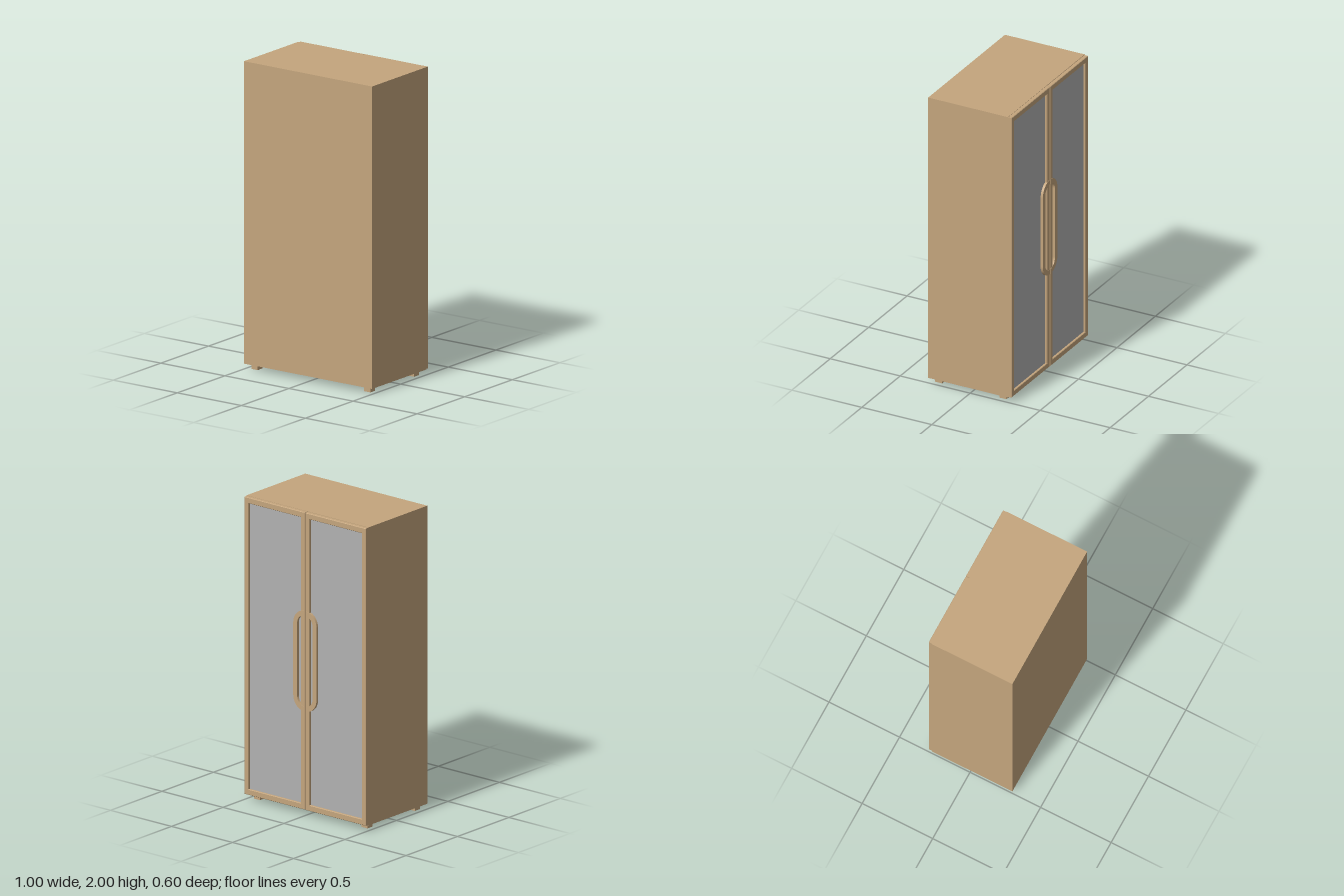
import * as THREE from 'three';

const wood = new THREE.MeshStandardMaterial({ color: 0xc4a57d });
wood.name = 'wood';
const glass = new THREE.MeshStandardMaterial({ color: 0xb1b1b1 });
glass.name = 'greyGlass';

const BASE = 0.035, TOP = 2, MID = (BASE + TOP) / 2;

function box(name, material, size, position) {
  const mesh = new THREE.Mesh(new THREE.BoxGeometry(...size), material);
  mesh.name = name;
  mesh.position.set(...position);
  return mesh;
}

// Rectangle outline from two corners
function rect(path, x0, y0, x1, y1) {
  path.moveTo(x0, y0);
  path.lineTo(x1, y0);
  path.lineTo(x1, y1);
  path.lineTo(x0, y1);
  path.closePath();
  return path;
}

// One door, spanning x = 0 to 0.5 and facing +z
function makeDoor(name) {
  const door = new THREE.Group();
  door.name = name;

  // Chamfered frame with a window opening
  const b = 0.003;
  const outline = rect(new THREE.Shape(), 0.002 + b, BASE + 0.002 + b, 0.497 - b, 1.997 - b);
  outline.holes.push(rect(new THREE.Path(), 0.033, BASE + 0.037, 0.467, 1.963));
  const frame = new THREE.Mesh(new THREE.ExtrudeGeometry(outline, {
    depth: 0.022, bevelSize: b, bevelThickness: b, bevelSegments: 1,
  }), wood);
  frame.name = 'doorFrame';
  frame.position.z = 0.27;
  door.add(frame);

  // Recessed pane
  door.add(box('doorPane', glass, [0.44, 1.9, 0.008], [0.25, MID, 0.277]));

  // Half of a long rounded loop, joined to the inner stile
  const R = 0.091, r = 0.059, h = 0.24, x0 = 0.004;
  const loop = new THREE.Shape();
  loop.moveTo(x0, -h - R);
  loop.absarc(x0, -h, R, -Math.PI / 2, 0, false);
  loop.absarc(x0, h, R, 0, Math.PI / 2, false);
  loop.lineTo(x0, h + r);
  loop.absarc(x0, h, r, Math.PI / 2, 0, true);
  loop.absarc(x0, -h, r, 0, -Math.PI / 2, true);
  loop.closePath();
  const handle = new THREE.Mesh(new THREE.ExtrudeGeometry(loop, {
    depth: 0.018, bevelEnabled: false, curveSegments: 12,
  }), wood);
  handle.name = 'handle';
  handle.position.set(0, MID, 0.279);
  door.add(handle);
  return door;
}

export function createModel() {
  const model = new THREE.Group();
  model.name = 'wardrobe';

  // Cabinet
  model.add(box('cabinet', wood, [1, TOP - BASE, 0.57], [0, MID, 0.015]));

  // Feet
  for (const x of [-0.44, 0.44]) {
    for (const z of [-0.215, 0.245]) {
      model.add(box('foot', wood, [0.05, BASE, 0.05], [x, BASE / 2, z]));
    }
  }

  // The doors face -z; each is symmetric top to bottom, so the second is flipped over
  const right = makeDoor('rightDoor');
  right.rotation.y = Math.PI;
  const left = makeDoor('leftDoor');
  left.rotation.x = Math.PI;
  left.position.y = 2 * MID;
  model.add(right, left);
  return model;
}
